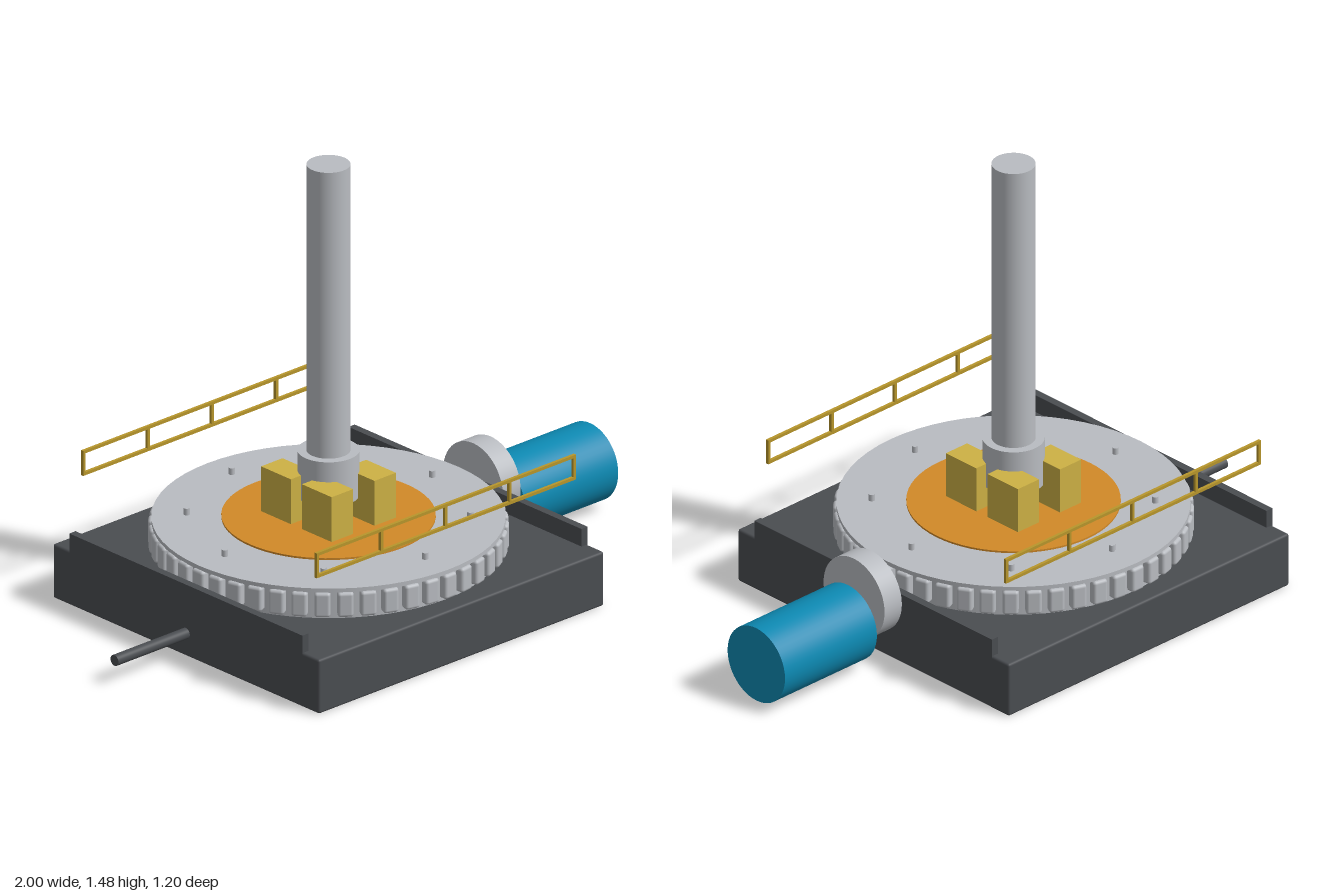
import * as THREE from 'three';
import { RoundedBoxGeometry } from 'three/addons/geometries/RoundedBoxGeometry.js';

const material = (name, color) => {
  const m = new THREE.MeshStandardMaterial({ color });
  m.name = name;
  return m;
};

export function createModel() {
  const model = new THREE.Group();
  model.name = 'rotaryTable';
  const dark = material('dark steel', 0x4a4d51);
  const grey = material('light steel', 0xb9bcc1);
  const orange = material('orange', 0xd28a28);
  const yellow = material('yellow', 0xcdb145);
  const gold = material('railing gold', 0xb8962c);
  const blue = material('blue', 0x0d89b2);

  const add = (name, geometry, mat, x, y, z, parent = model) => {
    const mesh = new THREE.Mesh(geometry, mat);
    mesh.name = name;
    mesh.position.set(x, y, z);
    parent.add(mesh);
    return mesh;
  };
  const group = (name, x = 0, y = 0, z = 0) => {
    const g = new THREE.Group();
    g.name = name;
    g.position.set(x, y, z);
    model.add(g);
    return g;
  };
  // Upright cylinder around the table axis, between two heights
  const disc = (name, r, y0, y1, mat, parent) =>
    add(name, new THREE.CylinderGeometry(r, r, y1 - y0, 64), mat, 0, (y0 + y1) / 2, 0, parent);
  // Horizontal cylinder along x
  const axle = (name, r, x0, x1, y, mat) => {
    const mesh = add(name, new THREE.CylinderGeometry(r, r, x1 - x0, 48), mat, (x0 + x1) / 2, y, 0);
    mesh.rotation.z = Math.PI / 2;
    return mesh;
  };

  // Base with a raised lip on both sides
  add('base', new RoundedBoxGeometry(1.2, 0.182, 1.2, 2, 0.008), dark, -0.1, 0.091, 0);
  for (const x of [-0.687, 0.487]) {
    add('baseLip', new THREE.BoxGeometry(0.026, 0.07, 1.05), dark, x, 0.206, 0);
  }

  // Turntable: toothed ring, top plate, orange centre and bolts
  const table = group('turntable', -0.1);
  disc('ringBody', 0.53, 0.18, 0.276, grey, table);
  disc('topPlate', 0.545, 0.274, 0.288, grey, table);
  disc('centrePlate', 0.33, 0.286, 0.294, orange, table);
  const toothGeometry = new RoundedBoxGeometry(0.05, 0.082, 0.05, 2, 0.01);
  const teeth = 48;
  for (let i = 0; i < teeth; i++) {
    const a = (i / teeth) * Math.PI * 2;
    const tooth = add('tooth', toothGeometry, grey, Math.sin(a) * 0.53, 0.234, Math.cos(a) * 0.53, table);
    tooth.rotation.y = a;
  }
  const boltGeometry = new THREE.CylinderGeometry(0.01, 0.01, 0.026, 12);
  for (let i = 0; i < 8; i++) {
    const a = (i / 8) * Math.PI * 2;
    add('bolt', boltGeometry, grey, Math.sin(a) * 0.436, 0.297, Math.cos(a) * 0.436, table);
  }

  // Pipe with collar, held by four jaws
  const pipe = group('pipe', -0.1);
  disc('pipeBody', 0.068, 0.28, 1.475, grey, pipe);
  disc('collar', 0.096, 0.362, 0.512, grey, pipe);
  const jawGeometry = new THREE.BoxGeometry(0.09, 0.156, 0.134);
  for (const sx of [-1, 1]) {
    for (const sz of [-1, 1]) add('jaw', jawGeometry, yellow, sx * 0.09, 0.367, sz * 0.092, pipe);
  }

  // Motor, its coupling disc and the shaft on the other side
  axle('coupling', 0.135, 0.508, 0.582, 0.213, grey);
  axle('motor', 0.127, 0.607, 1.0, 0.138, blue);
  axle('shaft', 0.018, -1.0, -0.69, 0.077, dark);

  // Railings at front and back
  for (const z of [-0.526, 0.526]) {
    const rail = group('railing', -0.1, 0, z);
    for (const y of [0.424, 0.498]) {
      add('railBar', new THREE.BoxGeometry(1.09, 0.01, 0.01), gold, 0, y, 0, rail);
    }
    for (let i = -2; i <= 2; i++) {
      add('railPost', new THREE.BoxGeometry(0.01, 0.082, 0.01), gold, i * 0.27, 0.461, 0, rail);
    }
  }
  return model;
}
